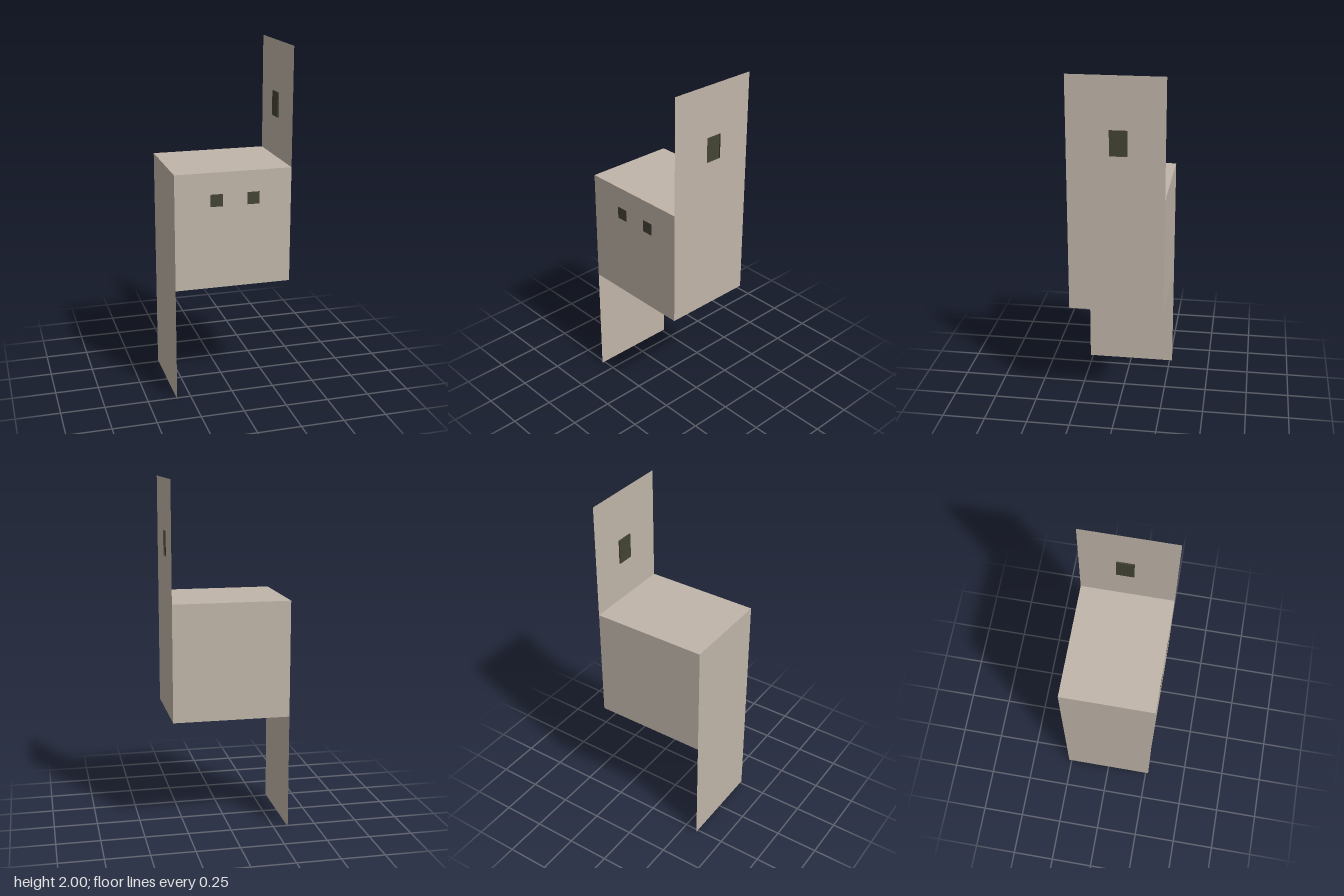
import * as THREE from 'three';

export function createModel() {
  const model = new THREE.Group();
  const shell = new THREE.MeshStandardMaterial({ color: 0xc0b5a9, side: THREE.DoubleSide });
  shell.name = 'warm grey shell';
  const dark = new THREE.MeshStandardMaterial({ color: 0x434334, side: THREE.DoubleSide });
  dark.name = 'dark olive';

  const W = 0.6667, D = 0.5333, H = 0.6667;

  function add(name, geometry, material, x, y, z) {
    const mesh = new THREE.Mesh(geometry, material);
    mesh.name = name;
    mesh.position.set(x, y, z);
    model.add(mesh);
    return mesh;
  }

  // Box without some of its six sides (0 = +x, 1 = -x, 2 = +y ...)
  function openBox(w, h, d, openSides) {
    const geometry = new THREE.BoxGeometry(w, h, d);
    geometry.groups = geometry.groups.filter((g) => !openSides.includes(g.materialIndex));
    return geometry;
  }

  // Body: its two ends are closed by the tall side panels
  add('body', openBox(W, H, D, [0, 1]), Array(6).fill(shell), 0, 1.5 * H, 0);

  // Right panel reaches down to the ground
  const rightPanel = new THREE.PlaneGeometry(D, 2 * H).rotateY(-Math.PI / 2);
  add('rightLegPanel', rightPanel, shell, -W / 2, H, 0);

  // Left panel rises above the body, with a small window cut through it
  const z0 = -0.063, z1 = 0.035, y0 = 1.567, y1 = 1.71;
  const outline = new THREE.Shape([
    new THREE.Vector2(-D / 2, H), new THREE.Vector2(D / 2, H),
    new THREE.Vector2(D / 2, 3 * H), new THREE.Vector2(-D / 2, 3 * H),
  ]);
  // The shape's x runs towards -z once turned to face +x
  outline.holes.push(new THREE.Path([
    new THREE.Vector2(-z1, y0), new THREE.Vector2(-z1, y1),
    new THREE.Vector2(-z0, y1), new THREE.Vector2(-z0, y0),
  ]));
  const leftPanel = new THREE.ShapeGeometry(outline).rotateY(Math.PI / 2);
  add('leftUpperPanel', leftPanel, shell, W / 2, 0, 0);

  // Shallow tray behind the window, open to the outside
  const depth = 0.008;
  add('windowRecess', openBox(depth, y1 - y0, z1 - z0, [0]), Array(6).fill(dark),
    W / 2 - depth / 2, (y0 + y1) / 2, (z0 + z1) / 2);

  // Eyes
  for (const [name, x] of [['rightEye', -0.095], ['leftEye', 0.115]]) {
    add(name, new THREE.BoxGeometry(0.07, 0.07, 0.004), dark, x, 1.175, D / 2 - 0.001);
  }

  return model;
}
